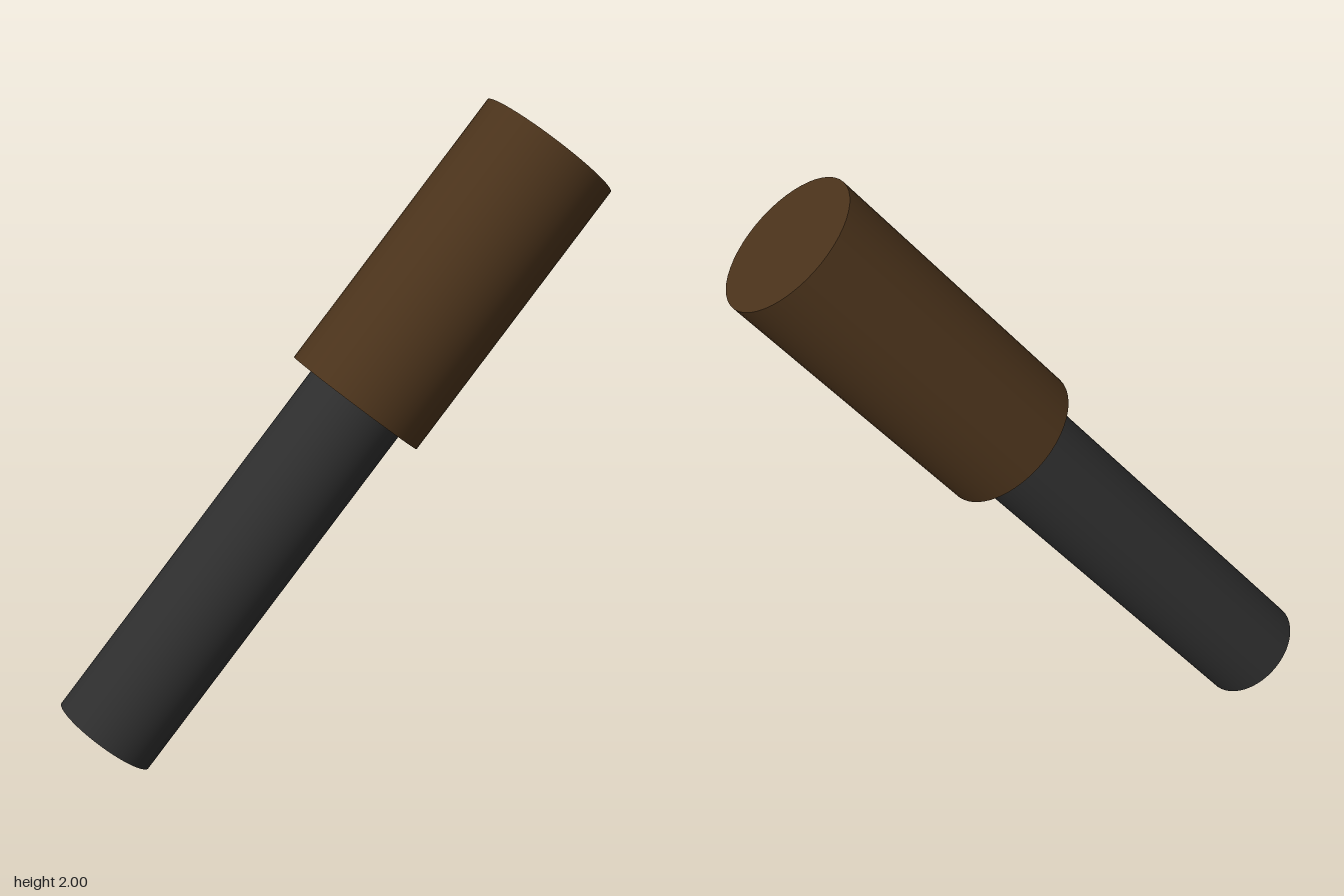
import * as THREE from 'three';

const SEGMENTS = 48;

// Upright cylinder whose base sits at the given height along the shared axis
function rod(name, radius, base, length, color) {
  const geometry = new THREE.CylinderGeometry(radius, radius, length, SEGMENTS);
  geometry.translate(0, base + length / 2, 0);
  const mesh = new THREE.Mesh(geometry, new THREE.MeshStandardMaterial({ color }));
  mesh.name = name;
  return mesh;
}

export function createModel() {
  const model = new THREE.Group();
  model.name = 'leaningHandle';

  // Both parts share one axis, starting at the shaft's lower end
  const axis = new THREE.Group();
  axis.name = 'tiltedAxis';
  axis.add(rod('shaft', 0.167, 0, 1.278, 0x2e2e2e));
  axis.add(rod('grip', 0.234, 1.278, 0.977, 0x4b331b));

  // Lean toward +x, with the lowest rim point on the ground
  axis.rotation.z = -THREE.MathUtils.degToRad(39.5);
  axis.position.set(-0.745, 0.107, 0);
  model.add(axis);
  return model;
}
